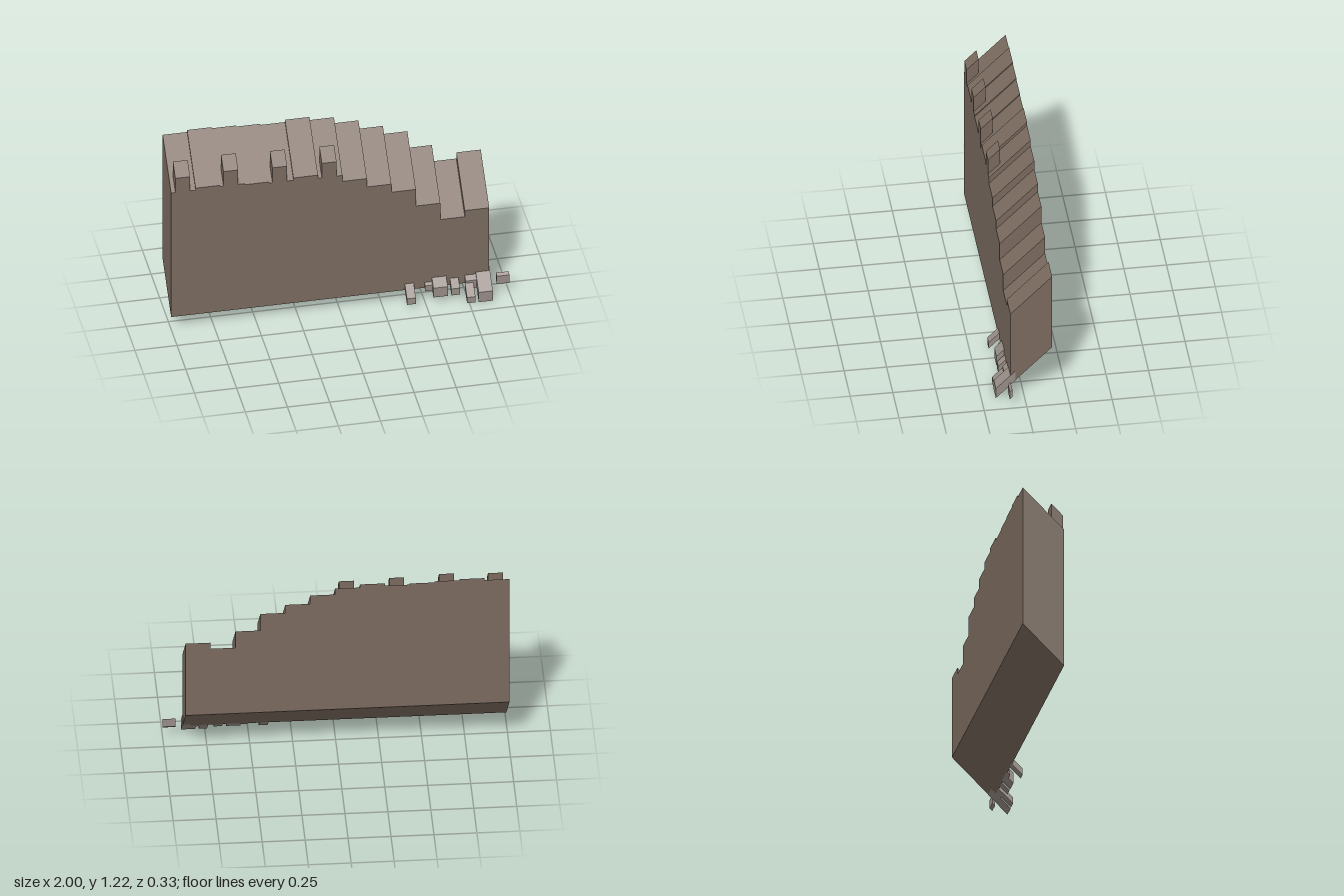
import * as THREE from 'three';

const GROUND = 0.17; // slope height at z = 0

// Lean everything up the 45 degree slope: y rises as z goes back
function shear(geometry) {
  const p = geometry.attributes.position;
  for (let i = 0; i < p.count; i++) p.setY(i, p.getY(i) - p.getZ(i));
  geometry.computeVertexNormals();
  return geometry;
}

function slopedBox(x0, x1, y0, y1, z0, z1) {
  const g = new THREE.BoxGeometry(x1 - x0, y1 - y0, z1 - z0);
  g.translate((x0 + x1) / 2, (y0 + y1) / 2, (z0 + z1) / 2);
  return shear(g);
}

export function createModel() {
  const model = new THREE.Group();
  const stone = new THREE.MeshStandardMaterial({ color: 0x7b6b60 });
  stone.name = 'brown stone';
  const rubbleStone = new THREE.MeshStandardMaterial({ color: 0x998e87 });
  rubbleStone.name = 'pale rubble stone';

  const add = (name, geometry, material, parent = model) => {
    const mesh = new THREE.Mesh(geometry, material);
    mesh.name = name;
    parent.add(mesh);
  };

  // Wall: stepped, broken top of equal-width columns
  const back = -0.165, front = 0.08, step = 1.885 / 13;
  const tops = [1.207, 1.221, 1.213, 1.205, 1.197, 1.213, 1.191, 1.149, 1.09, 1.033, 0.916, 0.801, 0.844];
  const outline = new THREE.Shape();
  outline.moveTo(-1, GROUND);
  tops.forEach((top, i) => {
    outline.lineTo(-1 + i * step, top + back);
    outline.lineTo(-1 + (i + 1) * step, top + back);
  });
  outline.lineTo(0.885, GROUND);
  outline.closePath();
  const wall = new THREE.ExtrudeGeometry(outline, { depth: front - back, bevelEnabled: false });
  wall.translate(0, 0, back);
  add('brokenWall', shear(wall), stone);

  // Battlements along the front edge
  const battlements = new THREE.Group();
  battlements.name = 'battlements';
  model.add(battlements);
  [[-0.975, 1.062], [-0.69, 1.07], [-0.4, 1.057], [-0.107, 1.048]].forEach(([x, top]) => {
    add('merlon', slopedBox(x, x + 0.087, 1.0, top + front, 0.01, front + 0.0005), stone, battlements);
  });

  // Fallen rubble: x0, x1, height, z0, z1
  const rubble = new THREE.Group();
  rubble.name = 'rubble';
  model.add(rubble);
  [
    [0.385, 0.437, 0.042, 0.075, 0.143],
    [0.502, 0.545, 0.037, 0.075, 0.095],
    [0.545, 0.63, 0.065, 0.075, 0.125],
    [0.652, 0.702, 0.045, 0.08, 0.125],
    [0.736, 0.786, 0.04, 0.1, 0.165],
    [0.74, 0.807, 0.055, 0.075, 0.105],
    [0.805, 0.889, 0.068, 0.05, 0.166],
    [0.925, 1.0, 0.055, 0.085, 0.1],
  ].forEach(([x0, x1, h, z0, z1]) => {
    add('rubbleBlock', slopedBox(x0, x1, GROUND, GROUND + h, z0, z1), rubbleStone, rubble);
  });

  return model;
}
